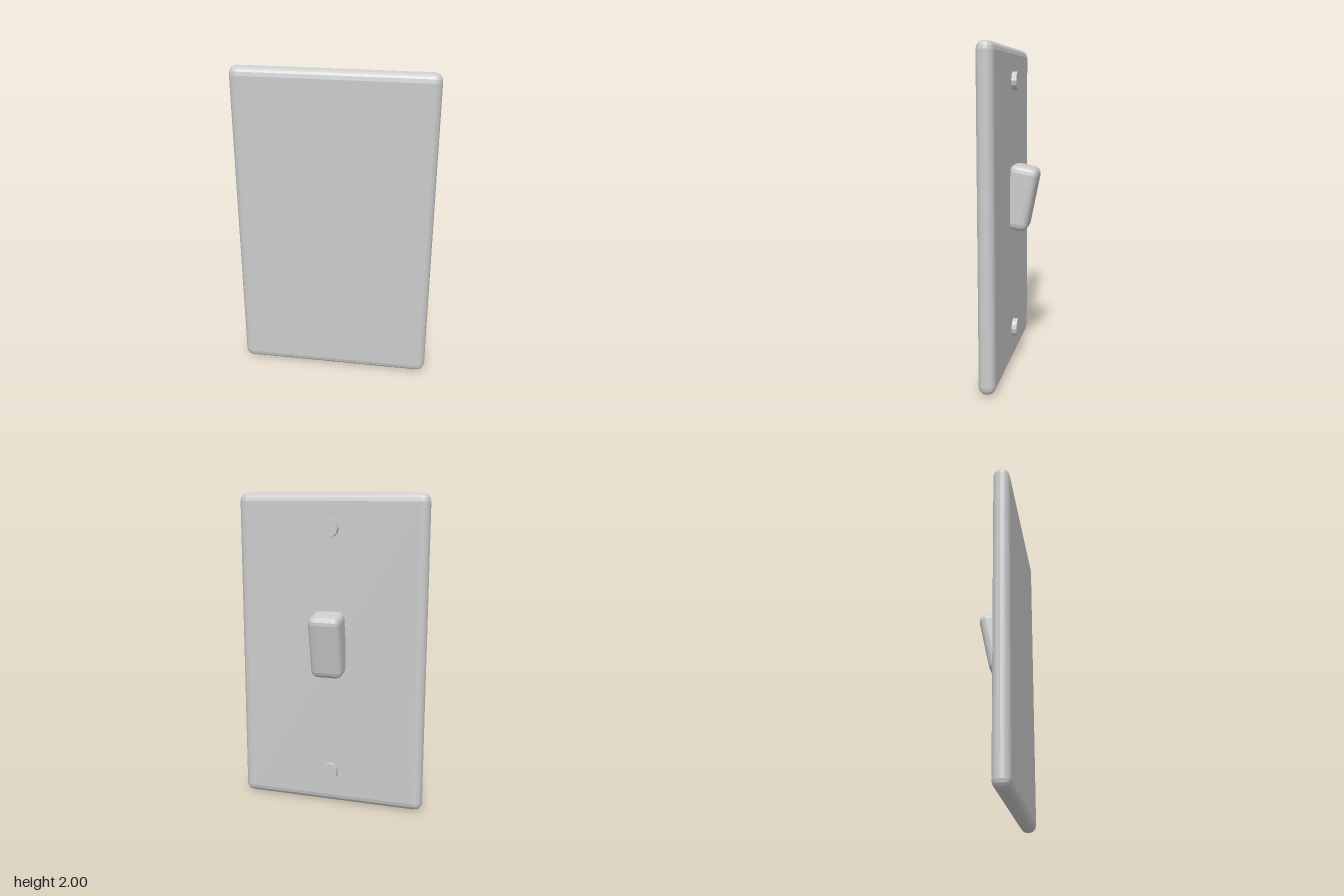
import * as THREE from 'three';
import { RoundedBoxGeometry } from 'three/addons/geometries/RoundedBoxGeometry.js';

export function createModel() {
  const model = new THREE.Group();
  model.name = 'wallSwitch';
  const material = new THREE.MeshStandardMaterial({ color: 0xcccccc, flatShading: true });

  const add = (name, geometry, x, y, z) => {
    const mesh = new THREE.Mesh(geometry, material);
    mesh.name = name;
    mesh.position.set(x, y, z);
    model.add(mesh);
    return mesh;
  };

  // Cover plate with fully rounded edges
  add('plate', new RoundedBoxGeometry(1.212, 2, 0.102, 2, 0.05), 0, 1, 0.084);

  // Switch lever, tilted so its top leans away from the plate
  const lever = add('lever', new RoundedBoxGeometry(0.205, 0.406, 0.18, 2, 0.045), 0, 1.073, -0.014);
  lever.rotation.x = -0.2;

  // Screw heads above and below the lever
  const screw = new THREE.CylinderGeometry(0.056, 0.056, 0.05, 12).rotateX(Math.PI / 2);
  add('upperScrew', screw, 0, 1.79, 0.026);
  add('lowerScrew', screw, 0, 0.22, 0.026);

  return model;
}
